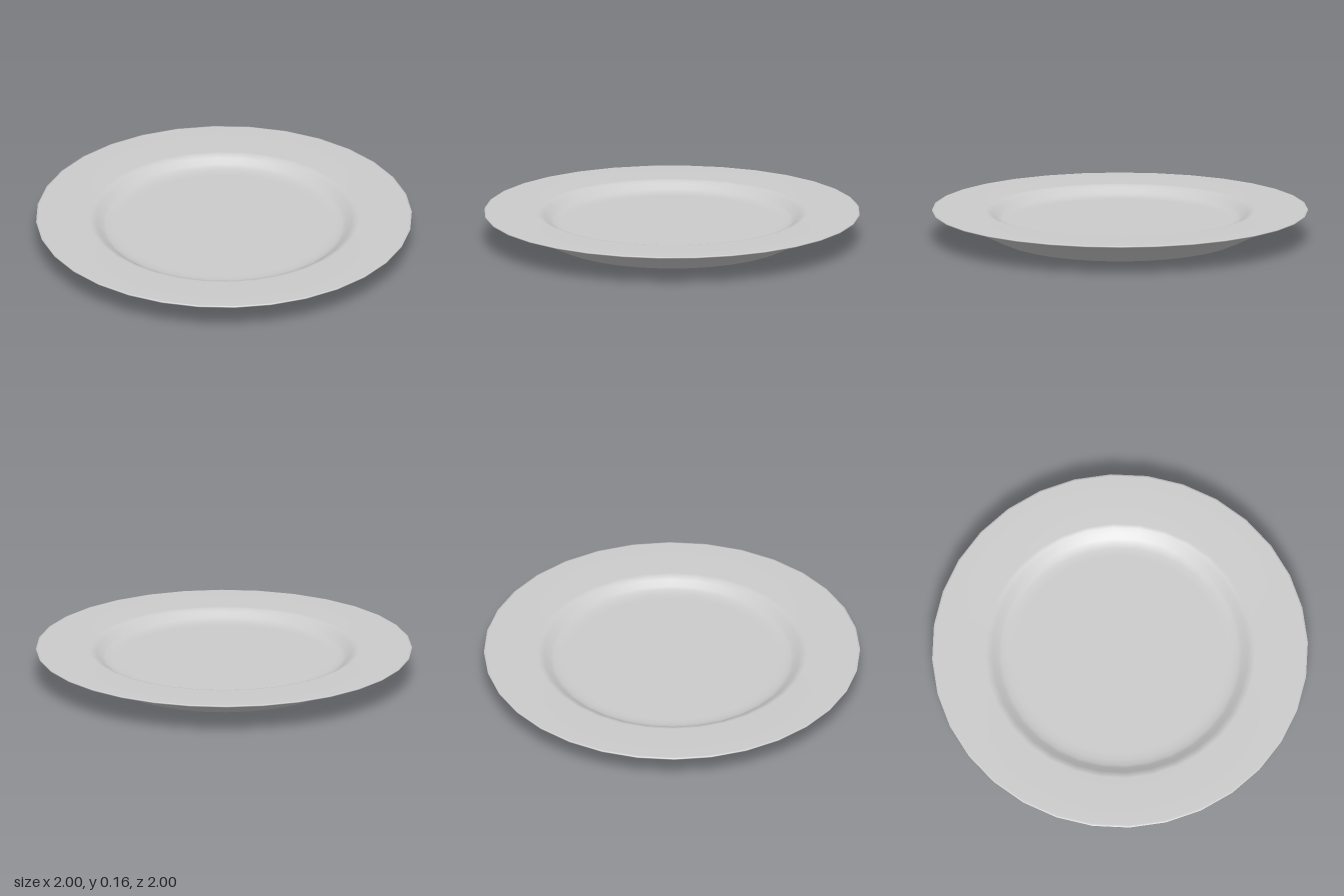
import * as THREE from 'three';

export function createModel() {
  const group = new THREE.Group();
  group.name = 'dinnerPlate';

  // Cross-section from the underside centre, out round the rim, back to the well centre
  const profile = [
    // flat base and foot curve
    [0, 0], [0.58, 0], [0.61, 0.004], [0.64, 0.012], [0.67, 0.025],
    // flared underside
    [0.74, 0.06], [0.82, 0.097], [0.9, 0.126], [0.985, 0.151],
    // thin lip
    [1, 0.156], [1, 0.162], [0.99, 0.164],
    // flat rim
    [0.9, 0.163], [0.72, 0.16], [0.7, 0.156],
    // shoulder down into the shallow well
    [0.68, 0.144], [0.65, 0.122], [0.63, 0.112], [0.6, 0.107], [0.56, 0.105], [0, 0.105],
  ].map(([r, y]) => new THREE.Vector2(r, y));

  const plate = new THREE.Mesh(
    new THREE.LatheGeometry(profile, 32),
    new THREE.MeshStandardMaterial({ color: 0xcccccc })
  );
  plate.name = 'plate';
  group.add(plate);
  return group;
}
